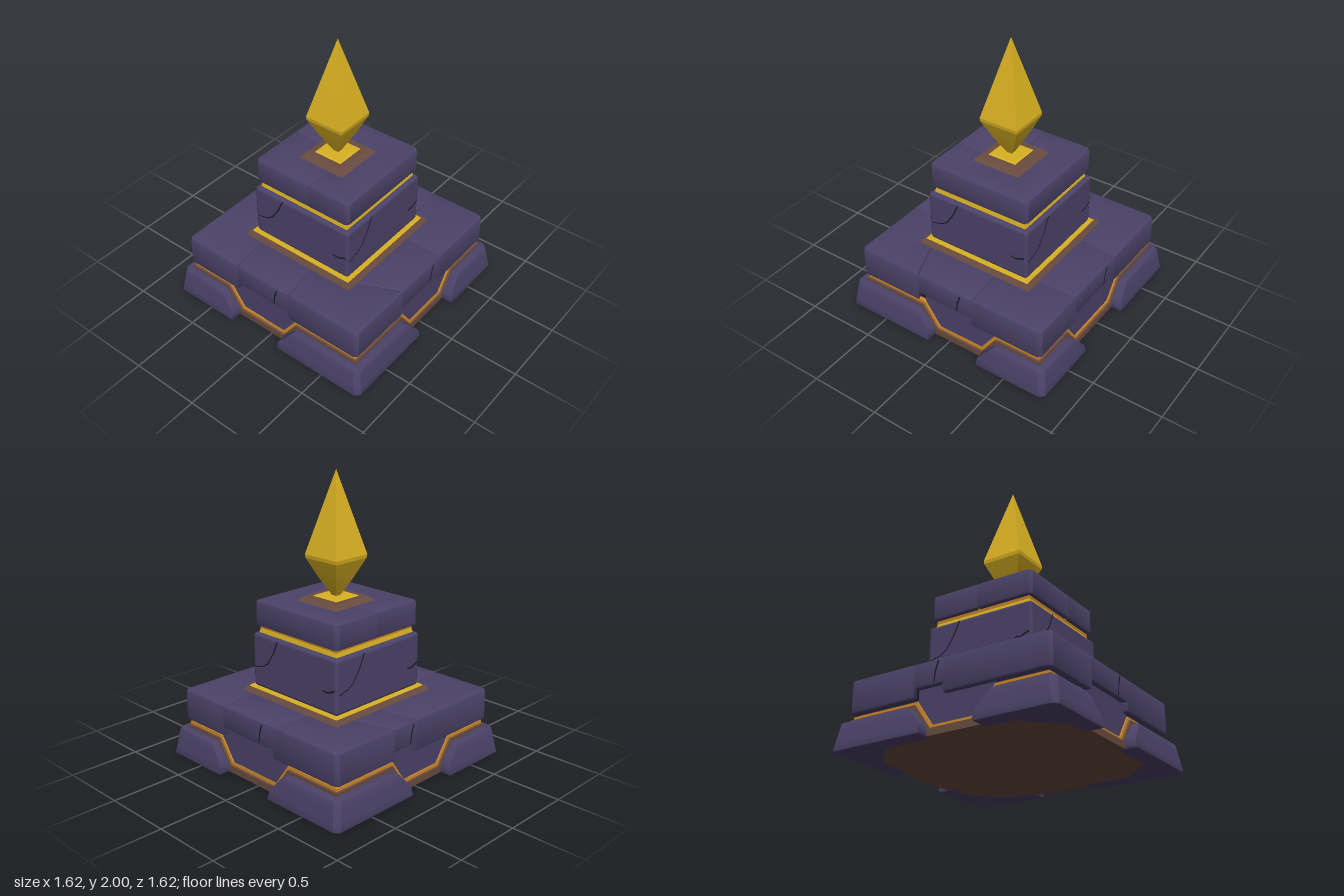
import * as THREE from 'three';
import { toCreasedNormals, mergeGeometries } from 'three/addons/utils/BufferGeometryUtils.js';
import { RoundedBoxGeometry } from 'three/addons/geometries/RoundedBoxGeometry.js';

const mat = (name, color) => {
  const m = new THREE.MeshStandardMaterial({ color });
  m.name = name;
  return m;
};

export function createModel() {
  const stone = mat('purple stone', 0x4b4369);
  const brown = mat('brown trim', 0x6a4c40);
  const gold = mat('yellow gold', 0xd9b122);
  const orange = mat('orange gold', 0xd08a2a);
  const dark = mat('dark seam', 0x1b1826);

  const model = new THREE.Group();
  model.name = 'crystalPedestal';

  const add = (name, geo, material, parent = model) => {
    const mesh = new THREE.Mesh(geo, material);
    mesh.name = name;
    parent.add(mesh);
    return mesh;
  };
  const toShape = (pts) => new THREE.Shape(pts.map(([x, y]) => new THREE.Vector2(x, y)));

  // Bevelled stone cut from a plan outline of [x, z] points
  const brickGeo = (pts, y0, y1, bevel, steps = 1) => {
    const geo = new THREE.ExtrudeGeometry(toShape(pts.map(([x, z]) => [x, -z])), {
      depth: y1 - y0 - 2 * bevel, steps, bevelEnabled: true,
      bevelSize: bevel, bevelThickness: bevel, bevelOffset: -bevel, bevelSegments: 2,
    });
    return geo.rotateX(-Math.PI / 2).translate(0, y0 + bevel, 0);
  };
  const brick = (name, pts, y0, y1, bevel) =>
    add(name, toCreasedNormals(brickGeo(pts, y0, y1, bevel), 0.7), stone);

  // Square frustum with half widths r0 (bottom) and r1 (top)
  const frustum = (name, r0, r1, y0, y1, material) => {
    const geo = new THREE.CylinderGeometry(r1 * Math.SQRT2, r0 * Math.SQRT2, y1 - y0, 4);
    geo.rotateY(Math.PI / 4).translate(0, (y0 + y1) / 2, 0);
    return add(name, toCreasedNormals(geo, 0.2), material);
  };

  // Plate with an outline in x, y and its outer face at z1
  const plate = (name, pts, z0, z1, material, parent) => {
    const geo = new THREE.ExtrudeGeometry(toShape(pts), { depth: z1 - z0, bevelEnabled: false });
    return add(name, geo.translate(0, 0, z0), material, parent);
  };

  // Thin tapering crack along points on the plane z
  const crack = (pts, z, width, parent) => {
    const parts = [];
    for (let i = 1; i < pts.length; i++) {
      const [ax, ay] = pts[i - 1], [bx, by] = pts[i];
      const w = width * (1 - 0.5 * (i - 1) / pts.length);
      const g = new THREE.PlaneGeometry(Math.hypot(bx - ax, by - ay) + w * 0.4, w);
      g.rotateZ(Math.atan2(by - ay, bx - ax)).translate((ax + bx) / 2, (ay + by) / 2, z);
      parts.push(g);
    }
    return add('crack', mergeGeometries(parts), dark, parent);
  };

  // Notch ends and [outer, inner] brick seams on each side, as x or z positions
  const sides = {
    front: { turn: 0, notch: [-0.29, 0.12], seams: [[-0.28, -0.31], [0.17, 0.13]] },
    back: { turn: Math.PI, notch: [-0.19, 0.29], seams: [[-0.17, -0.2], [0.32, 0.34]] },
    left: { turn: Math.PI / 2, notch: [-0.28, 0.12], seams: [[-0.2, -0.18], [0.24, 0.36]] },
    right: { turn: -Math.PI / 2, notch: [-0.12, 0.26], seams: [[-0.22, -0.3], [-0.01, -0.07]] },
  };

  // Base body and the dark core seen in the seams
  add('baseFloor', new THREE.BoxGeometry(1.42, 0.07, 1.42).translate(0, 0.04, 0), brown);
  add('baseCore', new THREE.BoxGeometry(1.38, 0.2, 1.38).translate(0, 0.16, 0), brown);
  add('slabCore', new THREE.BoxGeometry(1.4, 0.19, 1.4).translate(0, 0.355, 0), dark);

  // Corner feet and corner slab bricks
  const O = 0.74, I = 0.45;
  for (const sx of [-1, 1]) for (const sz of [-1, 1]) {
    const xSide = sz > 0 ? sides.front : sides.back;
    const zSide = sx > 0 ? sides.left : sides.right;
    const xi = sx > 0 ? 1 : 0, zi = sz > 0 ? 1 : 0;

    const ex = xSide.notch[xi], ez = zSide.notch[zi];
    const foot = brickGeo([
      [sx * 0.815, sz * 0.78], [sx * 0.815, ez], [sx * 0.68, ez], [sx * 0.68, sz * 0.46],
      [sx * 0.46, sz * 0.68], [ex, sz * 0.68], [ex, sz * 0.815], [sx * 0.78, sz * 0.815],
    ], 0, 0.195, 0.015, 3);
    // Lean the outer walls in and slope the two ends
    const p = foot.attributes.position;
    for (let i = 0; i < p.count; i++) {
      let x = p.getX(i), z = p.getZ(i);
      const y = p.getY(i), slope = 0.11 * THREE.MathUtils.clamp((y - 0.06) / 0.13, 0, 1);
      if (sx * x < 0.42) x += sx * slope;
      else if (sz * z < 0.42) z += sz * slope;
      const k = 1 - 0.04 * y / 0.19;
      p.setXYZ(i, Math.abs(x) > 0.7 ? x * k : x, y, Math.abs(z) > 0.7 ? z * k : z);
    }
    foot.computeVertexNormals();
    add('cornerFoot', toCreasedNormals(foot, 0.6), stone);

    const [xo, xn] = xSide.seams[xi], [zo, zn] = zSide.seams[zi];
    brick('cornerSlabBrick', [
      [sx * O, sz * (O - 0.025)], [sx * O, zo], [sx * I, zn], [sx * I, sz * I],
      [xn, sz * I], [xo, sz * O], [sx * (O - 0.025), sz * O],
    ], 0.255, 0.48, 0.018);
  }

  // Middle slab bricks, notch panels and trims
  for (const [name, { turn, notch, seams }] of Object.entries(sides)) {
    const group = new THREE.Group();
    group.name = name + 'Side';
    group.rotation.y = turn;
    model.add(group);

    const flip = name === 'back' || name === 'left';
    const [a, b] = flip ? [-notch[1], -notch[0]] : notch;
    const [lo, hi] = flip ? [seams[1].map((v) => -v), seams[0].map((v) => -v)] : seams;
    const outline = [[lo[0], O], [hi[0], O], [hi[1], I], [lo[1], I]];
    add('middleSlabBrick', toCreasedNormals(brickGeo(outline, 0.315, 0.478, 0.015), 0.7), stone, group);

    // Trim line dropping into the notch, moved down by d
    const path = (d, r) => [
      [-r, 0.24 - d], [a - 0.09 - d * 0.5, 0.24 - d], [a + 0.025 - d * 0.5, 0.075 - d],
      [b - 0.025 + d * 0.5, 0.075 - d], [b + 0.09 + d * 0.5, 0.24 - d], [r, 0.24 - d],
    ];
    const band = (label, d0, d1, z, m) =>
      plate(label, [...path(d1, z), ...path(d0, z).reverse()], 0.6, z, m, group);
    band('orangeTrim', 0, 0.022, 0.715, orange);
    band('brownTrim', 0.022, 0.07, 0.73, brown);
    plate('notchPanel', [...path(0, 0.7).slice(1, 5), [b + 0.09, 0.325], [a - 0.09, 0.325]],
      0.5, 0.705, stone, group);

    // Cracks in the middle brick and in the tower wall
    const c = lo[0] + (hi[0] - lo[0]) * 0.75;
    crack([[c + 0.02, 0.46], [c, 0.4], [c - 0.01, 0.33]], O + 0.002, 0.012, group);
    crack([[-0.15, 0.88], [-0.19, 0.79], [-0.25, 0.7], [-0.3, 0.67], [-0.38, 0.65]], 0.402, 0.01, group);
    crack([[0.38, 0.68], [0.32, 0.655], [0.28, 0.66]], 0.402, 0.012, group);
  }

  // Tower footing
  frustum('footingTrim', 0.47, 0.435, 0.45, 0.502, brown);
  frustum('footingGold', 0.43, 0.415, 0.49, 0.512, gold);

  // Tower block and gold neck
  add('towerBlock', new RoundedBoxGeometry(0.8, 0.385, 0.8, 2, 0.025).translate(0, 0.7, 0), stone);
  frustum('neckGold', 0.37, 0.36, 0.88, 0.923, gold);
  frustum('neckOrange', 0.36, 0.365, 0.923, 0.96, orange);

  // Capstone in two stones around the crystal socket
  const C = 0.39, S = 0.18, k = 0.025;
  frustum('capCore', 0.365, 0.365, 0.95, 1.1, dark);
  brick('capSmallStone', [[-C, -0.02], [-S, -0.02], [-S, S], [0.08, S], [0.07, C], [k - C, C], [-C, C - k]],
    0.943, 1.12, 0.015);
  brick('capLargeStone', [
    [-C, -0.02], [-C, k - C], [k - C, -C], [C - k, -C], [C, k - C], [C, C - k], [C - k, C],
    [0.07, C], [0.08, S], [S, S], [S, -S], [-S, -S], [-S, -0.02],
  ], 0.943, 1.12, 0.015);

  // Socket
  frustum('socketTrim', 0.205, 0.15, 1.09, 1.148, brown);
  frustum('socketGold', 0.12, 0.1, 1.14, 1.154, gold);

  // Four-sided crystal
  const profile = [[0, 1.145], [0.018, 1.15], [0.085, 1.28], [0.143, 1.41], [0.146, 1.435], [0.075, 1.71], [0, 2]];
  const crystal = new THREE.LatheGeometry(
    profile.map(([r, y]) => new THREE.Vector2(r * Math.SQRT2, y)), 4).rotateY(Math.PI / 4);
  add('crystal', toCreasedNormals(crystal, 0.25), gold);

  return model;
}
